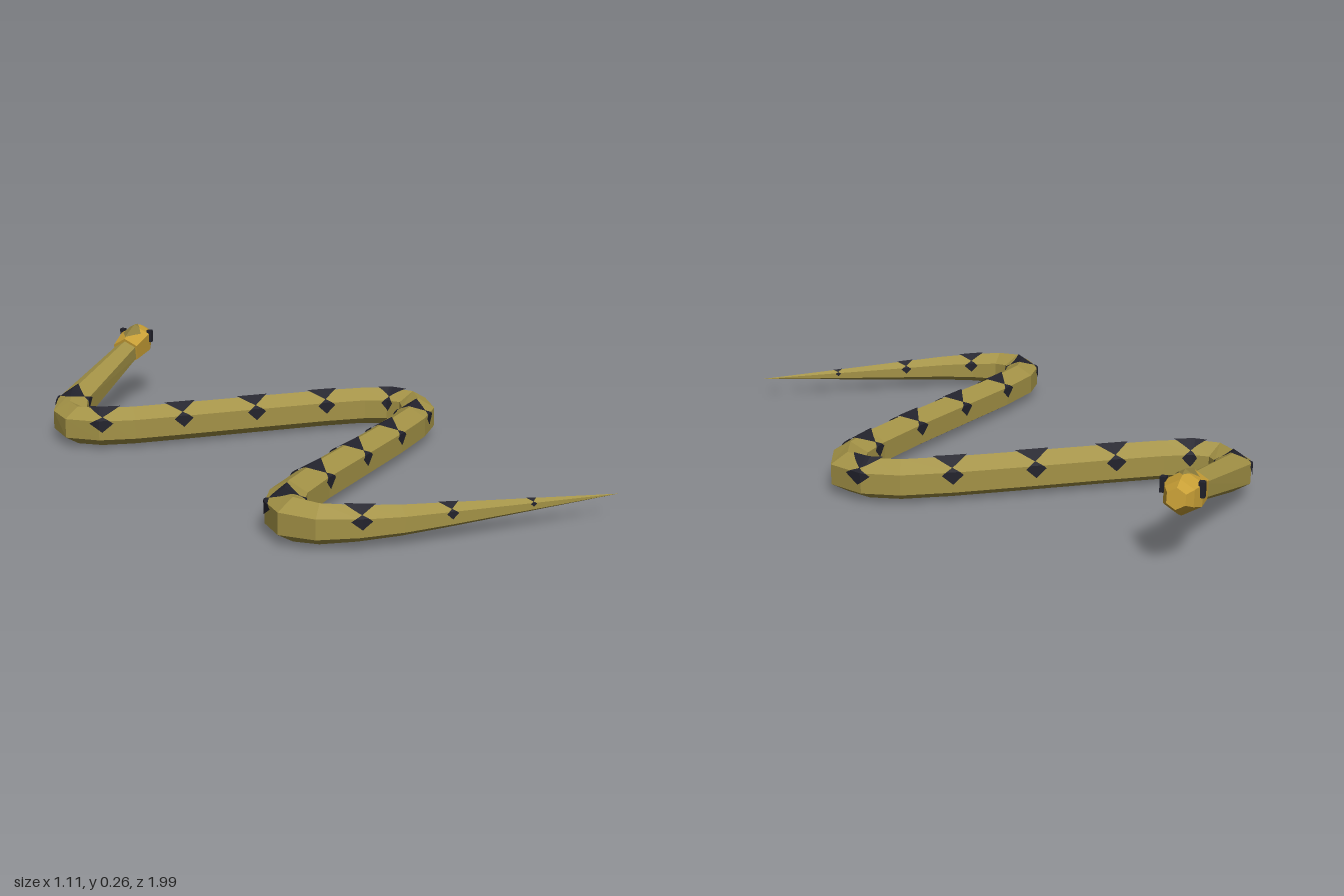
import * as THREE from 'three';

const SIDES = 6;
const UP = new THREE.Vector3(0, 1, 0);

// Six-cornered rings (ridge on top) along stations of [x, y, z, radius]
function makeRings(stations) {
  const pts = stations.map(s => new THREE.Vector3(s[0], s[1], s[2]));
  return pts.map((c, i) => {
    const dir = (a, b) => pts[b].clone().sub(pts[a]).normalize();
    const t = new THREE.Vector3();
    if (i > 0) t.add(dir(i - 1, i));
    if (i < pts.length - 1) t.add(dir(i, i + 1));
    t.normalize();
    const right = t.clone().cross(UP).normalize();
    const up = right.clone().cross(t);
    const corners = [];
    for (let k = 0; k < SIDES; k++) {
      const a = (k / SIDES) * Math.PI * 2;
      corners.push(c.clone()
        .addScaledVector(right, Math.sin(a) * stations[i][3])
        .addScaledVector(up, Math.cos(a) * stations[i][3]));
    }
    return { c, r: stations[i][3], corners };
  });
}

function faceted(points) {
  const g = new THREE.BufferGeometry().setFromPoints(points);
  g.computeVertexNormals();
  return g;
}

// Closed faceted skin through the rings
function skin(rings) {
  const out = [];
  const last = rings[rings.length - 1];
  for (let k = 0; k < SIDES; k++) {
    const n = (k + 1) % SIDES;
    for (let i = 0; i < rings.length - 1; i++) {
      const A = rings[i].corners, B = rings[i + 1].corners;
      if (rings[i].r > 0) out.push(A[k], A[n], B[n]);
      out.push(A[k], B[n], B[k]);
    }
    out.push(last.c, last.corners[k], last.corners[n]);
    if (rings[0].r > 0) out.push(rings[0].c, rings[0].corners[n], rings[0].corners[k]);
  }
  return faceted(out);
}

// Point on the skin: s = distance along the spine, k = position round the ring
function surfacePoint(rings, s, k, lift) {
  let i = 0, len = rings[0].c.distanceTo(rings[1].c);
  while (s > len && i < rings.length - 2) {
    s -= len;
    i++;
    len = rings[i].c.distanceTo(rings[i + 1].c);
  }
  const f = s / len, k0 = Math.floor(k);
  const a = (k0 + SIDES) % SIDES, b = (k0 + 1 + SIDES) % SIDES;
  const on = ring => ring.corners[a].clone().lerp(ring.corners[b], k - k0);
  const c = rings[i].c.clone().lerp(rings[i + 1].c, f);
  return on(rings[i]).lerp(on(rings[i + 1]), f).sub(c).multiplyScalar(lift).add(c);
}

// Diamond patch folded over the ring corner nearest its middle
function diamond(rings, s, mid, halfK, halfLen) {
  const out = [], steps = 8, fold = Math.round(mid);
  const row = j => {
    const t = (j / steps) * 2 - 1, w = halfK * (1 - Math.abs(t));
    const lo = mid - w, hi = mid + w;
    return [lo, Math.min(hi, Math.max(lo, fold)), hi]
      .map(k => surfacePoint(rings, s + t * halfLen, k, 1.08));
  };
  for (let j = 0; j < steps; j++) {
    const A = row(j), B = row(j + 1);
    for (let q = 0; q < 2; q++) out.push(A[q], A[q + 1], B[q + 1], A[q], B[q + 1], B[q]);
  }
  return faceted(out);
}

export function createModel() {
  const model = new THREE.Group();
  model.name = 'snake';
  const mat = (name, color) => new THREE.MeshStandardMaterial({ name, color });
  const olive = mat('olive scales', 0xa39246);
  const gold = mat('golden head', 0xc9a036);
  const dark = mat('dark markings', 0x22222c);
  const crownOlive = mat('crown olive', 0x8f7f3e);
  dark.side = THREE.DoubleSide;
  crownOlive.side = THREE.DoubleSide;
  const add = (name, geometry, material, parent = model) => {
    const m = new THREE.Mesh(geometry, material);
    m.name = name;
    parent.add(m);
    return m;
  };

  // Body, from tail tip to neck
  const R = 0.06;
  const bodyRings = makeRings([
    [0.288, 0.062, 0.994, 0], [-0.18, 0.06, 0.808, 0.034], [-0.3, 0.06, 0.76, 0.042],
    [-0.4, 0.06, 0.705, 0.049], [-0.475, 0.06, 0.645, 0.055], [-0.503, 0.06, 0.575, R],
    [-0.48, 0.06, 0.515, R], [-0.42, 0.06, 0.462, R], [-0.278, 0.06, 0.396, R],
    [-0.05, 0.06, 0.308, R], [0.177, 0.06, 0.22, R], [0.35, 0.06, 0.145, R],
    [0.45, 0.06, 0.085, R], [0.502, 0.06, 0.01, R], [0.478, 0.06, -0.068, R],
    [0.41, 0.06, -0.13, R], [0.28, 0.06, -0.193, R], [0.055, 0.06, -0.283, R],
    [-0.167, 0.06, -0.37, R], [-0.3, 0.06, -0.425, R], [-0.385, 0.06, -0.475, R],
    [-0.43, 0.06, -0.54, R], [-0.41, 0.062, -0.615, R], [-0.36, 0.083, -0.67, 0.057],
    [0.01, 0.18, -0.889, 0.04],
  ]);
  add('body', skin(bodyRings), olive);

  // Dark diamonds along the back and both flanks, shrinking with the tail
  const spots = new THREE.Group();
  spots.name = 'markings';
  model.add(spots);
  for (let i = 0; i < 14; i++) {
    const s = 0.262 + i * 0.2395;
    const size = Math.min(1, s / 0.87);
    add('backMarking', diamond(bodyRings, s, 0, 0.75, 0.05 * size), dark, spots);
    for (const side of [-1, 1]) {
      add('flankMarking', diamond(bodyRings, s, side * 1.15, 0.42, 0.03 * size), dark, spots);
    }
  }

  // Head
  const headRings = makeRings([
    [-0.014, 0.176, -0.875, 0.048], [0.066, 0.194, -0.928, 0.058],
    [0.106, 0.202, -0.957, 0.044], [0.131, 0.207, -0.974, 0.028],
  ]);
  add('head', skin(headRings), gold);

  // Crown plate lying over the head ridge
  add('crownPlate', diamond(headRings, 0.068, 0, 0.62, 0.062), crownOlive);

  // Upright narrow eyes
  const along = new THREE.Vector3(0.84, 0, -0.54);
  const out = new THREE.Vector3(0.54, 0, 0.84);
  for (const side of [-1, 1]) {
    const eye = add('eye', new THREE.BoxGeometry(0.018, 0.042, 0.016), dark);
    eye.position.set(0.072, 0.214, -0.932).addScaledVector(out, side * 0.05);
    eye.rotation.y = Math.atan2(-along.z, along.x);
  }
  return model;
}
